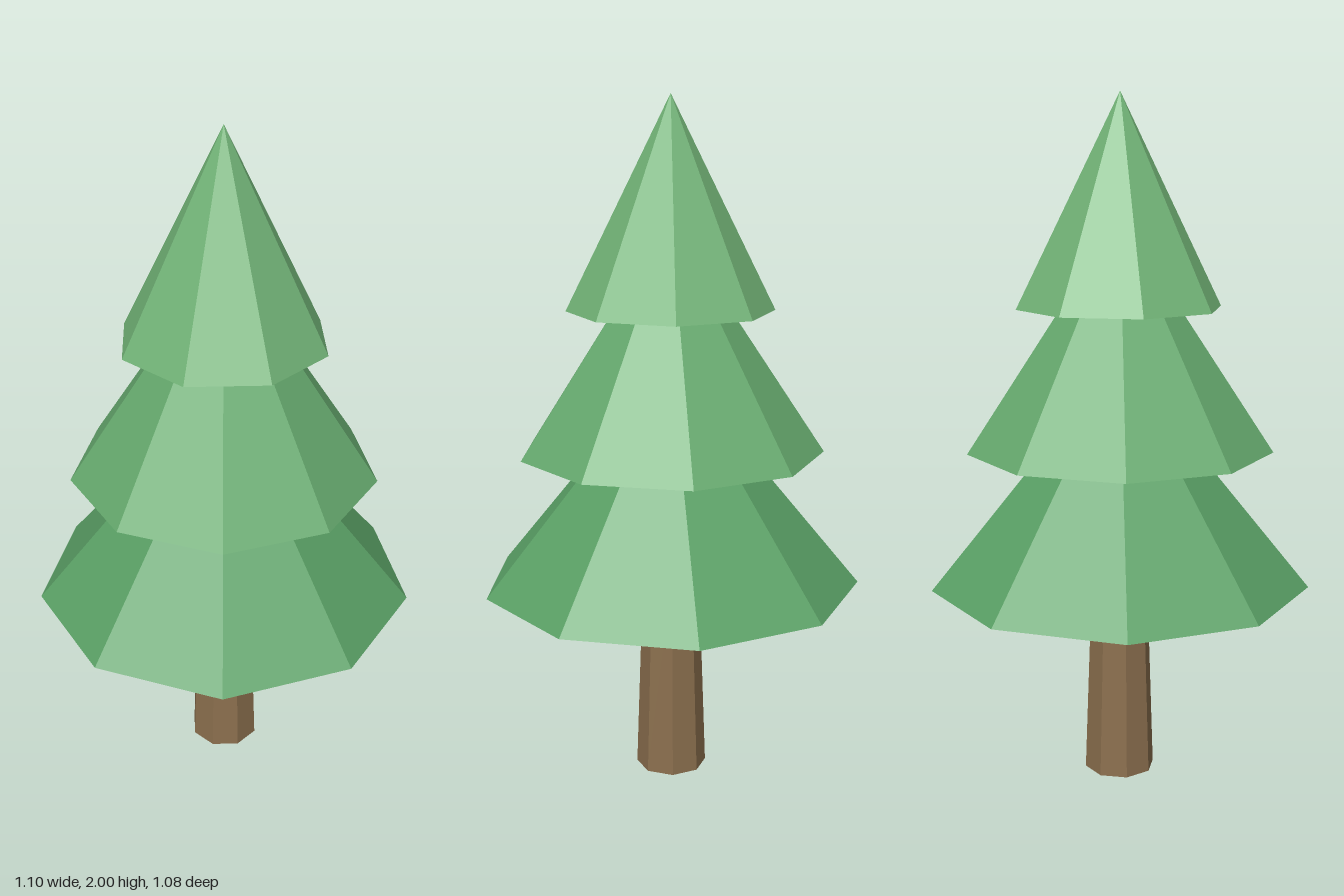
import * as THREE from 'three';

const CENTRE_Z = 0.017;

function addPart(group, name, geometry, y, color) {
  const material = new THREE.MeshStandardMaterial({ color, flatShading: true });
  const mesh = new THREE.Mesh(geometry, material);
  mesh.name = name;
  mesh.position.set(0, y + geometry.parameters.height / 2, CENTRE_Z);
  group.add(mesh);
  return mesh;
}

export function createModel() {
  const tree = new THREE.Group();
  tree.name = 'pineTree';

  // Tapered eight-sided trunk, reaching just inside the lowest tier
  addPart(tree, 'trunk', new THREE.CylinderGeometry(0.083, 0.105, 0.63, 8), 0, 0x8b6f4e);

  // Three overlapping tiers of foliage, each a closed cone
  const tiers = [
    { name: 'lowerFoliage', radius: 0.557, height: 0.67, sides: 9, y: 0.59, color: 0x5aa065 },
    { name: 'middleFoliage', radius: 0.446, height: 0.67, sides: 9, y: 0.99, color: 0x66aa6e },
    { name: 'topFoliage', radius: 0.3, height: 0.6, sides: 8, y: 1.4, color: 0x72b477 },
  ];
  for (const { name, radius, height, sides, y, color } of tiers) {
    const cone = addPart(tree, name, new THREE.ConeGeometry(radius, height, sides), y, color);
    cone.rotation.y = Math.PI; // a corner points to the back
  }

  return tree;
}
